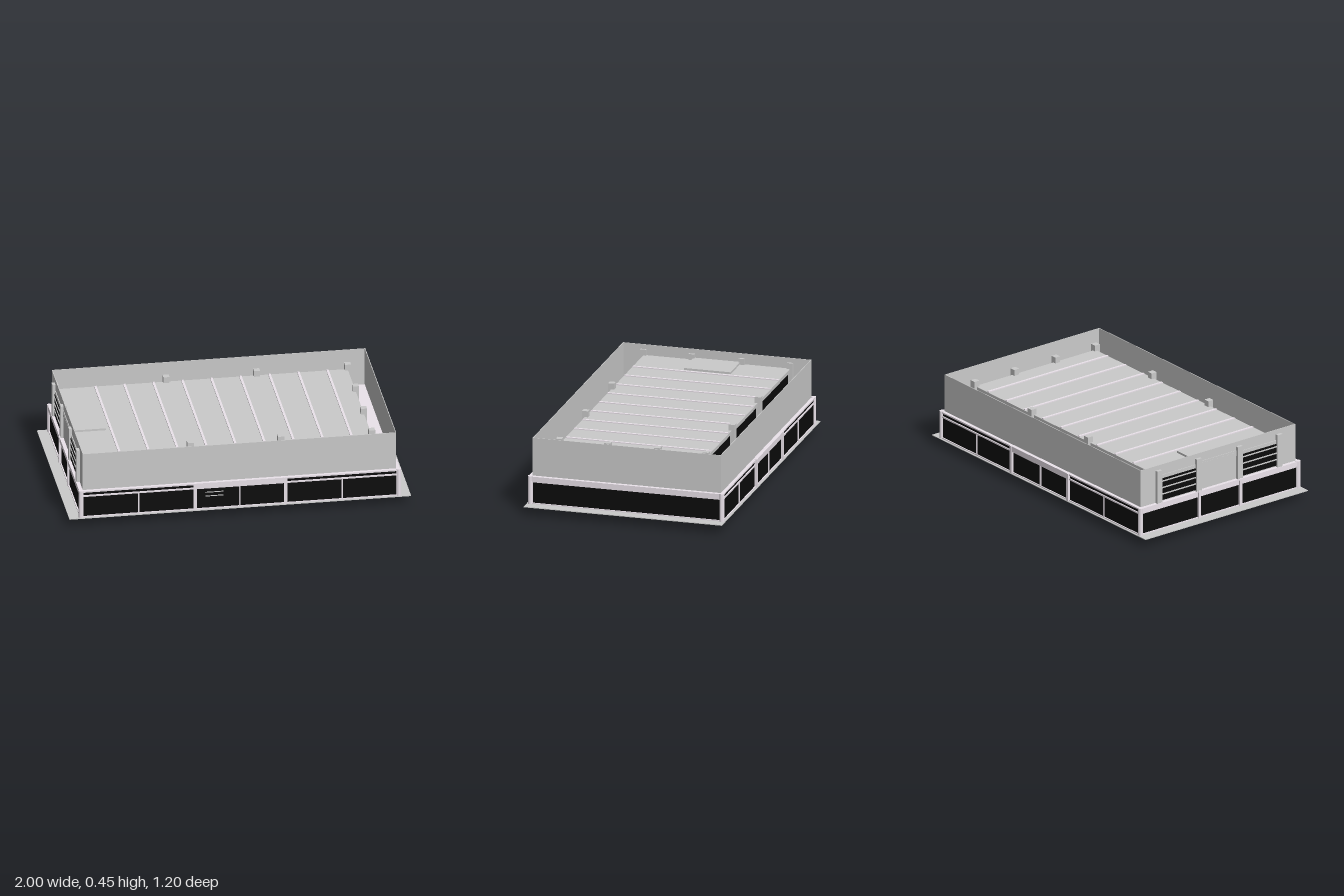
import * as THREE from 'three';
import { ConvexGeometry } from 'three/addons/geometries/ConvexGeometry.js';

const mat = (color) => new THREE.MeshStandardMaterial({ color, flatShading: true });
const grey = mat(0xcccccc);
const pale = mat(0xece4ec);
const black = mat(0x0c0c0c);
const pillarMat = mat(0xb4bacb);

export function createModel() {
  const model = new THREE.Group();

  // Box given by its minimum and maximum corners
  const box = (name, material, x0, x1, y0, y1, z0, z1, parent = model) => {
    const mesh = new THREE.Mesh(new THREE.BoxGeometry(x1 - x0, y1 - y0, z1 - z0), material);
    mesh.position.set((x0 + x1) / 2, (y0 + y1) / 2, (z0 + z1) / 2);
    mesh.name = name;
    parent.add(mesh);
    return mesh;
  };
  const group = (name) => {
    const g = new THREE.Group();
    g.name = name;
    model.add(g);
    return g;
  };

  // Ground plate, glazed lower storey and the terrace on top of it
  box('groundPlate', grey, -0.995, 0.995, 0.052, 0.056, -0.595, 0.595);
  box('glazing', black, -0.925, 0.925, 0.056, 0.215, -0.578, 0.578);
  box('terrace', pale, -0.935, 0.935, 0.213, 0.222, -0.585, 0.585);

  // Long facades: rails, posts and the raised central fascia
  for (const s of [1, -1]) {
    const facade = group(s > 0 ? 'frontFacade' : 'backFacade');
    const strip = (name, x0, x1, y0, y1, depth, m = pale) =>
      box(name, m, x0, x1, y0, y1, Math.min(s * 0.57, s * depth), Math.max(s * 0.57, s * depth), facade);
    strip('bottomRail', -0.93, 0.93, 0.056, 0.062, 0.585);
    strip('middleRail', -0.93, 0.93, 0.186, 0.195, 0.585);
    strip('fascia', -0.26, 0.26, 0.192, 0.224, 0.59);
    for (const x of [-0.59, 0, 0.595]) strip('thinPost', x - 0.004, x + 0.004, 0.056, 0.19, 0.584);
    for (const x of [-0.262, 0.265]) strip('thickPost', x - 0.009, x + 0.009, 0.056, 0.224, 0.592);
    if (s > 0) for (const y of [0.134, 0.158]) strip('handle', -0.2, -0.095, y, y + 0.004, 0.582, grey);
  }

  // Short facades: panelled upper band, rails and posts
  for (const s of [1, -1]) {
    const facade = group(s > 0 ? 'leftFacade' : 'rightFacade');
    const strip = (name, z0, z1, y0, y1, depth) =>
      box(name, pale, Math.min(s * 0.92, s * depth), Math.max(s * 0.92, s * depth), y0, y1, z0, z1, facade);
    strip('bottomRail', -0.58, 0.58, 0.056, 0.062, 0.932);
    strip('band', -0.58, 0.58, 0.186, 0.22, 0.93);
    for (const [a, b] of [[-0.57, -0.162], [-0.14, 0.13], [0.152, 0.57]])
      strip('bandPanel', a, b, 0.194, 0.219, 0.935);
    if (s < 0) for (const z of [-0.15, 0.15]) strip('post', z - 0.008, z + 0.008, 0.056, 0.224, 0.938);
  }

  // Rounded corner posts
  for (const x of [-0.925, 0.925]) for (const z of [-0.575, 0.575]) {
    const post = new THREE.Mesh(new THREE.CylinderGeometry(0.015, 0.015, 0.168, 12), pale);
    post.position.set(x, 0.14, z);
    post.name = 'cornerPost';
    model.add(post);
  }

  // Thin screen wall around the upper storey
  const screen = group('screenWall');
  for (const z of [-0.563, 0.563]) box('longScreen', grey, -0.913, 0.913, 0.222, 0.45, z - 0.002, z + 0.002, screen);
  for (const x of [-0.911, 0.911]) box('shortScreen', grey, x - 0.002, x + 0.002, 0.222, 0.45, -0.563, 0.563, screen);

  // Upper hall: dark walls, roof slab, ribs and the raised hatch
  const hall = group('upperHall');
  box('hallWalls', black, -0.905, 0.775, 0.222, 0.37, -0.43, 0.43, hall);
  box('roof', grey, -0.918, 0.79, 0.365, 0.386, -0.44, 0.44, hall);
  for (let i = -4; i <= 4; i++)
    box('roofRib', pale, i * 0.169 - 0.011, i * 0.169 + 0.003, 0.384, 0.392, -0.437, 0.437, hall);
  box('roofHatch', grey, -0.917, -0.71, 0.384, 0.398, -0.14, 0.14, hall);

  // Posts around the hall
  const posts = [];
  for (const z of [-0.44, 0.44]) for (const x of [-0.914, -0.267, 0.26, 0.79]) posts.push([x, z]);
  for (const z of [-0.15, 0.15]) for (const x of [-0.912, 0.789]) posts.push([x, z]);
  for (const [x, z] of posts)
    box('hallPost', grey, x - 0.018, x + 0.018, 0.222, 0.422, z - 0.018, z + 0.018, hall);

  // Dark window bays with horizontal rails at both ends of the hall
  for (const [x, bays] of [[-0.914, [-0.295, 0.295]], [0.779, [-0.295, 0, 0.295]]])
    for (const z of bays) {
      box('endWindow', black, x - 0.006, x + 0.006, 0.23, 0.365, z - 0.13, z + 0.13, hall);
      for (const y of [0.265, 0.305, 0.345])
        box('windowRail', grey, x - 0.01, x + 0.01, y, y + 0.007, z - 0.13, z + 0.13, hall);
    }

  // Four supports below the plate
  for (const x of [-0.39, 0.09]) for (const z of [-0.2, 0.2]) {
    const pillar = new THREE.Mesh(new THREE.CylinderGeometry(0.031, 0.031, 0.053, 10), pillarMat);
    pillar.position.set(x, 0.0265, z);
    pillar.name = 'support';
    model.add(pillar);
  }

  // Sloped keels below the plate
  const hull = (name, points) => {
    const mesh = new THREE.Mesh(new ConvexGeometry(points.map((p) => new THREE.Vector3(...p))), grey);
    mesh.name = name;
    model.add(mesh);
  };
  const mirrorZ = (pts) => pts.flatMap(([x, y, z]) => [[x, y, z], [x, y, -z]]);
  hull('deepKeel', mirrorZ([[-0.925, 0.02, 0.42], [-0.925, 0.054, 0.42], [-0.64, 0.024, 0.29], [-0.575, 0.03, 0.28], [-0.6, 0.054, 0.29]]));
  hull('shallowKeel', mirrorZ([[0.58, 0.054, 0.41], [0.58, 0.044, 0.41], [0.66, 0.046, 0.41], [0.82, 0.054, 0.41]]));

  // The plan sits very slightly turned on its axes
  model.rotation.y = 0.006;
  return model;
}
